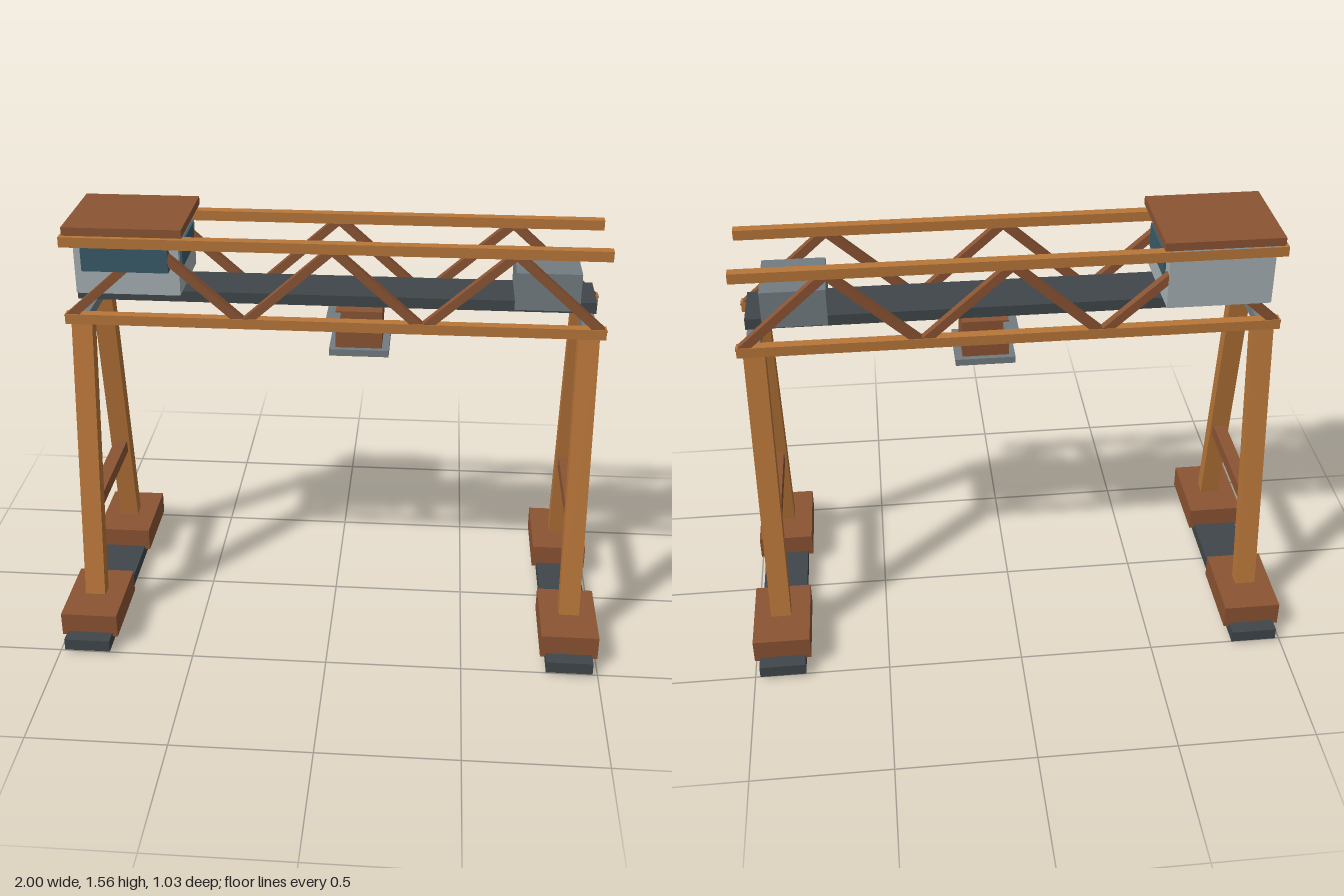
import * as THREE from 'three';

const mat = (name, color) => {
  const m = new THREE.MeshStandardMaterial({ color });
  m.name = name;
  return m;
};

export function createModel() {
  const orange = mat('orange steel', 0xb87639);
  const brown = mat('rust brown', 0x8b5433);
  const dark = mat('dark iron', 0x40464a);
  const grey = mat('grey steel', 0x727c81);
  const pale = mat('pale cabin', 0xa6b0b4);
  const glass = mat('blue glass', 0x3a5b69);

  const model = new THREE.Group();
  model.name = 'gantryCrane';

  const add = (name, geometry, material, x, y, z) => {
    const mesh = new THREE.Mesh(geometry, material);
    mesh.name = name;
    mesh.position.set(x, y, z);
    model.add(mesh);
    return mesh;
  };
  // Box given by its lower and upper limits on each axis
  const box = (name, material, [x0, x1], [y0, y1], [z0, z1]) =>
    add(name, new THREE.BoxGeometry(x1 - x0, y1 - y0, z1 - z0), material,
      (x0 + x1) / 2, (y0 + y1) / 2, (z0 + z1) / 2);
  // Straight square beam between two points
  const beam = (name, material, a, b, w, d) => {
    const p = new THREE.Vector3(...a), q = new THREE.Vector3(...b);
    const dir = q.clone().sub(p);
    const mid = p.clone().add(q).multiplyScalar(0.5);
    const mesh = add(name, new THREE.BoxGeometry(w, dir.length(), d), material, mid.x, mid.y, mid.z);
    mesh.quaternion.setFromUnitVectors(new THREE.Vector3(0, 1, 0), dir.normalize());
  };

  // Supports at both ends
  for (const sx of [-1, 1]) {
    const x = sx * 0.895;
    box('groundBeam', dark, [x - 0.085, x + 0.085], [0.015, 0.06], [-0.515, 0.515]);
    for (const z of [-0.39, -0.215, 0.215, 0.39]) {
      const wheel = new THREE.CylinderGeometry(0.04, 0.04, 0.125, 12);
      wheel.rotateY(Math.PI / 12).rotateZ(Math.PI / 2);
      add('wheel', wheel, dark, x, 0.04, z);
    }
    for (const sz of [-1, 1]) {
      add('foot', new THREE.BoxGeometry(0.21, 0.09, 0.31), brown, x, 0.09, sz * 0.305);
      beam('leg', orange, [sx * 0.898, 0.14, sz * 0.303], [sx * 0.898, 1.213, sz * 0.149], 0.075, 0.056);
    }
    box('legBrace', brown, [x - 0.025, x + 0.025], [0.465, 0.515], [-0.235, 0.235]);
  }

  // Side trusses: two chords and a zigzag web
  for (const z of [-0.163, 0.163]) {
    box('lowerChord', orange, [-0.957, 0.957], [1.2, 1.237], [z - 0.0185, z + 0.0185]);
    box('upperChord', orange, [-0.957, 0.957], [1.488, 1.525], [z - 0.0185, z + 0.0185]);
    for (let i = 0; i < 6; i++) {
      const y = (k) => (k % 2 ? 1.5 : 1.217);
      const x = (k) => -0.95 + (k * 1.9) / 6;
      beam('diagonal', brown, [x(i), y(i), z], [x(i + 1), y(i + 1), z], 0.031, 0.031);
    }
  }
  for (const x of [-0.9, 0, 0.9])
    box('crossTie', grey, [x - 0.025, x + 0.025], [1.2, 1.236], [-0.18, 0.18]);

  // Central runway with its motor housing
  box('runway', dark, [-0.925, 0.925], [1.265, 1.305], [-0.1, 0.1]);
  box('motorHousing', grey, [0.638, 0.865], [1.28, 1.417], [-0.122, 0.122]);

  // Hanging trolley
  box('trolley', brown, [0.005, 0.172], [1.1, 1.242], [-0.09, 0.09]);
  box('trolleyPlate', grey, [-0.018, 0.198], [1.076, 1.101], [-0.11, 0.11]);

  // Operator cabin
  box('cabin', pale, [-0.914, -0.541], [1.308, 1.537], [-0.18, 0.15]);
  box('frontWindow', glass, [-0.882, -0.574], [1.402, 1.49], [0.15, 0.181]);
  box('sideWindow', glass, [-0.541, -0.533], [1.402, 1.49], [-0.122, 0.122]);
  box('cabinRoof', brown, [-0.94, -0.52], [1.535, 1.565], [-0.191, 0.191]);

  return model;
}
